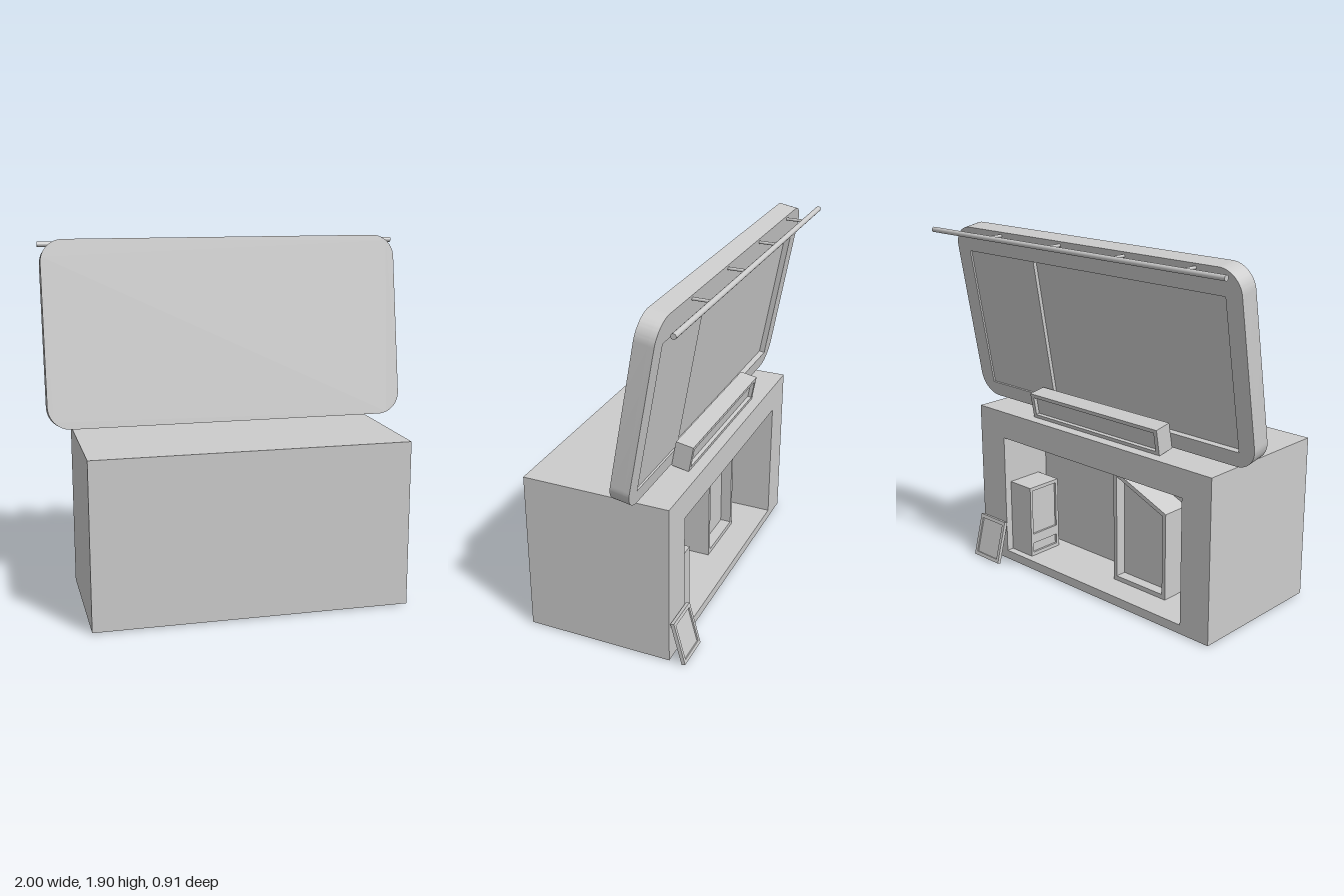
import * as THREE from 'three';
import { toCreasedNormals } from 'three/addons/utils/BufferGeometryUtils.js';

const grey = new THREE.MeshStandardMaterial({ color: 0xcccccc });
const poly = (pts) => pts.map(([x, y]) => new THREE.Vector2(x, y));
const rect = (x0, y0, x1, y1) => poly([[x0, y0], [x1, y0], [x1, y1], [x0, y1]]);

// Outline of a rectangle with rounded corners
function roundRect(x0, y0, x1, y1, r) {
  const s = new THREE.Shape();
  s.absarc(x1 - r, y0 + r, r, -Math.PI / 2, 0);
  s.absarc(x1 - r, y1 - r, r, 0, Math.PI / 2);
  s.absarc(x0 + r, y1 - r, r, Math.PI / 2, Math.PI);
  s.absarc(x0 + r, y0 + r, r, Math.PI, Math.PI * 1.5);
  return s.getPoints(12);
}

function slab(name, shape, z, depth) {
  const geo = new THREE.ExtrudeGeometry(shape, { depth, bevelEnabled: false });
  const mesh = new THREE.Mesh(toCreasedNormals(geo, 0.5), grey);
  mesh.name = name;
  mesh.position.z = z;
  return mesh;
}

// Solid block spanning z = 0..depth, with pockets sunk into its -z face
function recessed(name, outline, holes, depth, pocket) {
  const g = new THREE.Group();
  g.name = name;
  const rim = new THREE.Shape(outline);
  holes.forEach((h) => rim.holes.push(new THREE.Path(h)));
  g.add(slab(name + 'Rim', rim, 0, pocket));
  g.add(slab(name + 'Body', new THREE.Shape(outline), pocket, depth - pocket));
  return g;
}

// Round bar between two points
function bar(name, a, b, r) {
  const p = new THREE.Vector3(...a), q = new THREE.Vector3(...b);
  const d = q.clone().sub(p);
  const m = new THREE.Mesh(new THREE.CylinderGeometry(r, r, d.length(), 16), grey);
  m.name = name;
  m.position.copy(p).add(q).multiplyScalar(0.5);
  m.quaternion.setFromUnitVectors(new THREE.Vector3(0, 1, 0), d.normalize());
  return m;
}

export function createModel() {
  const model = new THREE.Group();
  model.name = 'kiosk';
  const tilt = -THREE.MathUtils.degToRad(9.9);

  // Main block with a room open to the back
  const booth = recessed('booth', rect(-0.86, 0.006, 0.8, 0.885),
    [rect(-0.68, 0.055, 0.61, 0.735)], 0.785, 0.31);
  booth.position.z = -0.33;
  model.add(booth);

  // Cabinet against the side wall, its screen and slot facing across the room
  const cabinet = recessed('cabinet', rect(-0.105, 0, 0.105, 0.41),
    [rect(-0.088, 0.13, 0.088, 0.39), rect(-0.088, 0.02, 0.088, 0.075)], 0.16, 0.012);
  cabinet.rotation.y = Math.PI / 2;
  cabinet.position.set(0.45, 0.055, -0.185);
  model.add(cabinet);

  // Slope-topped alcove on the rear wall of the room
  const alcove = recessed('slopedAlcove',
    poly([[-0.45, 0], [-0.085, 0], [-0.085, 0.63], [-0.45, 0.48]]),
    [poly([[-0.428, 0.025], [-0.107, 0.025], [-0.107, 0.597], [-0.428, 0.465]])], 0.16, 0.06);
  alcove.position.set(0, 0.055, -0.18);
  model.add(alcove);

  // Tilted billboard with a two-level sunken back
  const board = recessed('billboard', roundRect(-0.97, 0, 0.97, 0.99, 0.12),
    [rect(-0.875, 0.08, 0.875, 0.855)], 0.1, 0.03);
  board.position.set(-0.03, 0.905, -0.175);
  board.rotation.x = tilt;
  board.add(slab('billboardSidePanel', new THREE.Shape(rect(0.385, 0.08, 0.875, 0.855)), 0.01, 0.02));
  model.add(board);

  // Small sign box at the foot of the billboard
  const signBox = recessed('signBox', rect(-0.4525, 0, 0.4525, 0.14),
    [rect(-0.43, 0.02, 0.43, 0.12)], 0.095, 0.02);
  signBox.position.set(-0.03, 0.884, -0.27);
  signBox.rotation.x = tilt;
  model.add(signBox);

  // Light rail and its brackets
  model.add(bar('rail', [-1, 1.86, -0.44], [1, 1.86, -0.44], 0.014));
  for (const x of [-0.745, -0.31, 0.125, 0.565])
    model.add(bar('railBracket', [x, 1.86, -0.33], [x, 1.86, -0.44], 0.008));

  // Framed board leaning on the back wall
  const leaning = recessed('leaningBoard', rect(-0.1, 0, 0.1, 0.24),
    [rect(-0.082, 0.02, 0.082, 0.22)], 0.02, 0.008);
  leaning.position.set(0.7, 0.0, -0.417);
  leaning.rotation.x = THREE.MathUtils.degToRad(15);
  leaning.position.y = 0.005;
  model.add(leaning);

  return model;
}
